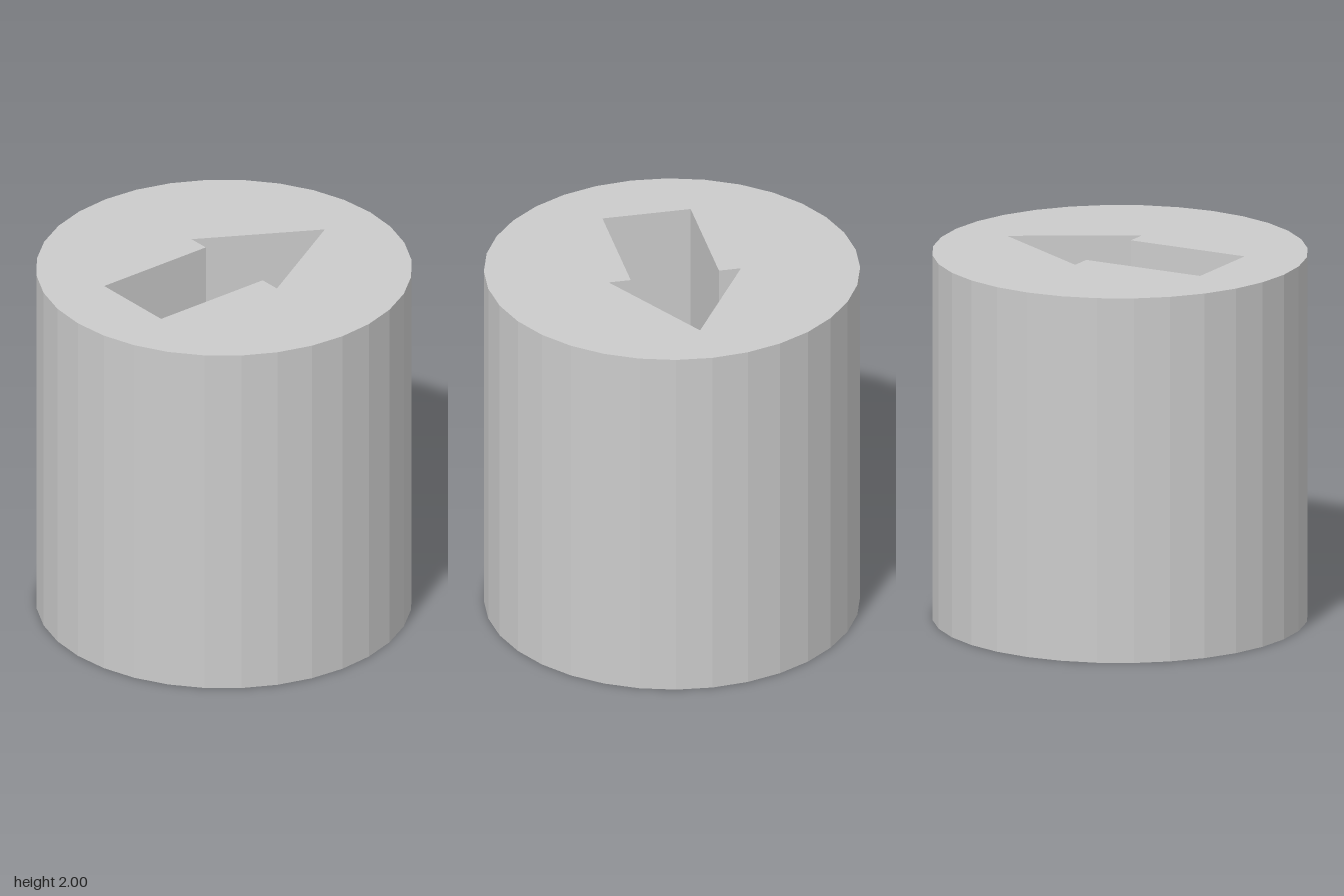
import * as THREE from 'three';

const SIDES = 32, HEIGHT = 2, FLOOR_Y = 1;

// Arrow outline, counter-clockwise; shape y points to the back (-z)
const ARROW = [
  [-0.24, -0.625], [0.24, -0.625], [0.24, 0.07], [0.36, 0.07],
  [0, 0.69], [-0.36, 0.07], [-0.24, 0.07],
].map(([x, y]) => new THREE.Vector2(x, y));

const RIM = Array.from({ length: SIDES }, (_, i) => {
  const a = (i / SIDES) * Math.PI * 2;
  return new THREE.Vector2(Math.cos(a), Math.sin(a));
});

// Flat horizontal face at a height, facing up or down
function flatFace(shape, y, up = true) {
  return new THREE.ShapeGeometry(shape)
    .rotateX(up ? -Math.PI / 2 : Math.PI / 2)
    .translate(0, y, 0);
}

// Vertical walls along an outline, facing inwards
function inwardWalls(points, y0, y1) {
  const pos = [];
  points.forEach((a, i) => {
    const b = points[(i + 1) % points.length];
    const at = [a.x, y1, -a.y], ab = [a.x, y0, -a.y];
    const bt = [b.x, y1, -b.y], bb = [b.x, y0, -b.y];
    pos.push(...at, ...bt, ...bb, ...at, ...bb, ...ab);
  });
  const g = new THREE.BufferGeometry();
  g.setAttribute('position', new THREE.Float32BufferAttribute(pos, 3));
  g.computeVertexNormals();
  return g;
}

export function createModel() {
  const group = new THREE.Group();
  group.name = 'cylinderWithArrowRecess';
  const material = new THREE.MeshStandardMaterial({ color: 0xcccccc, flatShading: true });
  const add = (name, geometry) => {
    const mesh = new THREE.Mesh(geometry, material);
    mesh.name = name;
    group.add(mesh);
  };

  // Faceted outer wall and closed base
  add('outerWall', new THREE.CylinderGeometry(1, 1, HEIGHT, SIDES, 1, true).translate(0, HEIGHT / 2, 0));
  add('base', flatFace(new THREE.Shape(RIM), 0, false));

  // Top face with the arrow cut out
  const top = new THREE.Shape(RIM);
  top.holes.push(new THREE.Path(ARROW));
  add('topFace', flatFace(top, HEIGHT));

  // Arrow-shaped recess
  add('recessWalls', inwardWalls(ARROW, FLOOR_Y, HEIGHT));
  add('recessFloor', flatFace(new THREE.Shape(ARROW), FLOOR_Y));

  return group;
}
